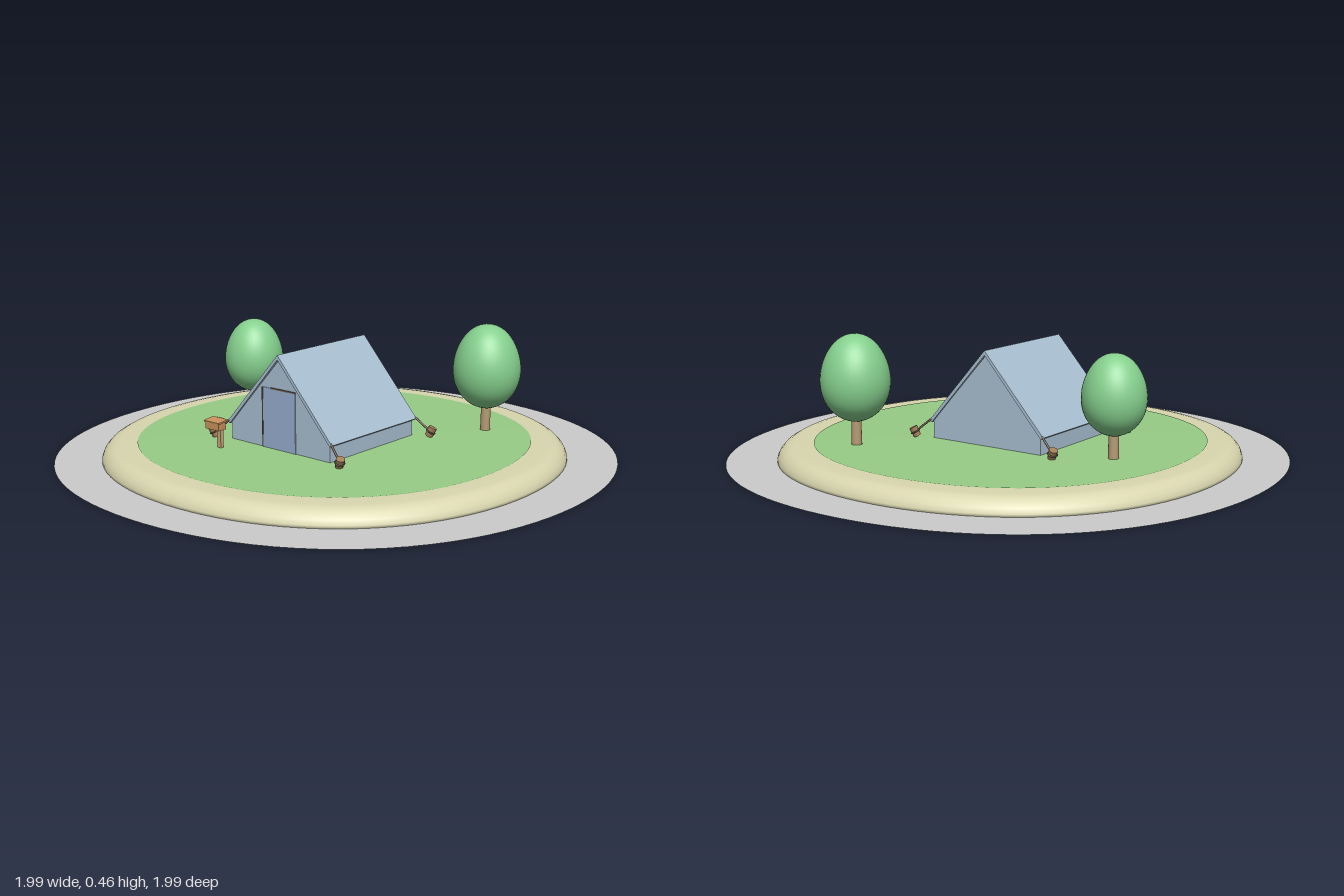
import * as THREE from 'three';

const mat = (color, side = THREE.FrontSide) => new THREE.MeshStandardMaterial({ color, side });
const GROUND = 0.06;

function add(parent, name, geometry, material, x = 0, y = 0, z = 0) {
  const mesh = new THREE.Mesh(geometry, material);
  mesh.name = name;
  mesh.position.set(x, y, z);
  parent.add(mesh);
  return mesh;
}

// Lathe bulged slightly along the diagonals, giving a soft rounded-square plan
function softLathe(points) {
  const geo = new THREE.LatheGeometry(points.map(p => new THREE.Vector2(...p)), 96);
  const pos = geo.attributes.position;
  for (let i = 0; i < pos.count; i++) {
    const x = pos.getX(i), z = pos.getZ(i);
    const s = 1 + 0.025 * Math.sin(2 * Math.atan2(z, x)) ** 2;
    pos.setXYZ(i, x * s, pos.getY(i), z * s);
  }
  geo.computeVertexNormals();
  return geo;
}

// Extrudes a front-facing outline from z0 to z1
function prism(points, z0, z1) {
  const shape = new THREE.Shape(points.map(p => new THREE.Vector2(...p)));
  const geo = new THREE.ExtrudeGeometry(shape, { depth: z1 - z0, bevelEnabled: false });
  return geo.translate(0, 0, z0);
}

// Straight rod between two points
function rod(a, b, radius, sides = 8) {
  const line = new THREE.LineCurve3(new THREE.Vector3(...a), new THREE.Vector3(...b));
  return new THREE.TubeGeometry(line, 1, radius, sides);
}

function makeTree(name, x, z, radius, bottom, top, bark, leaves) {
  const tree = new THREE.Group();
  tree.name = name;
  tree.position.set(x, 0, z);
  const trunkTop = bottom + 0.04;
  add(tree, 'trunk', new THREE.CylinderGeometry(0.017, 0.019, trunkTop - GROUND, 16), bark,
    0, (trunkTop + GROUND) / 2, 0);
  // Egg-shaped crown, fuller below the middle
  const profile = [];
  for (let i = 0; i <= 24; i++) {
    const t = Math.PI * i / 24;
    const r = Math.sin(t) * radius * (1 + 0.04 * Math.sin(2 * t));
    profile.push(new THREE.Vector2(Math.max(r, 0), (bottom + top) / 2 - Math.cos(t) * (top - bottom) / 2));
  }
  add(tree, 'crown', new THREE.LatheGeometry(profile, 40), leaves);
  return tree;
}

function makeTent() {
  const tent = new THREE.Group();
  tent.name = 'tent';
  tent.position.x = -0.025;
  const canvas = mat(0xa9c0d2), door = mat(0x98aed0), wood = mat(0xa07e58), rope = mat(0x6b5a48);

  // Body with low side walls and gabled ends
  add(tent, 'body', prism([[-0.235, GROUND], [0.235, GROUND], [0.235, 0.125], [0, 0.385], [-0.235, 0.125]],
    -0.18, 0.28), canvas);
  // Thin folded roof with a small overhang
  add(tent, 'roof', prism([[-0.25, 0.125], [-0.24, 0.118], [0, 0.388], [0.24, 0.118], [0.25, 0.125], [0, 0.405]],
    -0.187, 0.288), canvas);
  // Door flap and its seams
  add(tent, 'doorFlap', new THREE.BoxGeometry(0.155, 0.22, 0.004), door, 0, 0.17, 0.281);
  add(tent, 'doorSideSeam', new THREE.BoxGeometry(0.005, 0.22, 0.006), rope, -0.078, 0.17, 0.281);
  add(tent, 'doorTopSeam', new THREE.BoxGeometry(0.115, 0.005, 0.006), rope, 0.02, 0.28, 0.281);

  // Guy ropes tied to leaning pegs at the four corners
  for (const sx of [-1, 1]) for (const front of [true, false]) {
    const sz = front ? 1 : -1;
    const z = front ? 0.285 : -0.185;
    const px = sx * 0.295, pz = z + sz * 0.018;
    add(tent, 'peg', new THREE.CylinderGeometry(0.016, 0.014, 0.036, 12), wood, px + sx * 0.006, 0.08, pz + sz * 0.003)
      .rotation.set(sz * 0.25, 0, -sx * 0.4);
    add(tent, 'pegRopeLoop', new THREE.TorusGeometry(0.016, 0.003, 6, 16).rotateX(Math.PI / 2), rope,
      px + sx * 0.006, 0.08, pz + sz * 0.003).rotation.set(sz * 0.25, 0, -sx * 0.4);
    add(tent, 'guyRope', rod([sx * 0.243, 0.13, z], [px, 0.085, pz], 0.004), rope);
  }
  return tent;
}

function makeSign() {
  const sign = new THREE.Group();
  sign.name = 'postBox';
  sign.position.set(-0.21, 0, 0.39);
  const wood = mat(0xcaa578), orange = mat(0xc9925c);
  add(sign, 'post', new THREE.BoxGeometry(0.018, 0.105, 0.014), wood, 0, 0.1125, 0);
  add(sign, 'box', new THREE.BoxGeometry(0.066, 0.026, 0.036), orange, 0, 0.147, 0.022);
  // Lid sloping down to the front
  add(sign, 'lid', new THREE.BoxGeometry(0.074, 0.006, 0.046), orange, 0, 0.163, 0.02).rotation.x = 0.12;
  add(sign, 'hinge', rod([-0.02, 0.166, -0.004], [0.02, 0.166, -0.004], 0.004), wood);
  return sign;
}

export function createModel() {
  const model = new THREE.Group();
  model.name = 'campIsland';

  // Flat surround and island
  add(model, 'surround', softLathe([[0.0001, 0], [0.996, 0]]), mat(0xcccccc, THREE.DoubleSide), 0, 0.003, 0);
  add(model, 'sandShore', softLathe([[0.808, 0.003], [0.81, 0], [0.826, 0], [0.825, 0.012], [0.818, 0.028],
    [0.804, 0.044], [0.785, 0.055], [0.762, 0.0595], [0.69, 0.0595]]),
    mat(0xd9d6af, THREE.DoubleSide), -0.004, 0, 0.004);
  add(model, 'grass', softLathe([[0.7, 0.055], [0.7, GROUND], [0.0001, GROUND]]),
    mat(0x98cc86, THREE.DoubleSide), -0.006, 0.001, 0.004);

  model.add(makeTent(), makeSign());

  const bark = mat(0xb59a74), leaves = mat(0x86d08e);
  model.add(makeTree('leftTree', 0.37, -0.42, 0.125, 0.145, 0.46, bark, leaves));
  model.add(makeTree('rightTree', -0.485, -0.07, 0.113, 0.14, 0.425, bark, leaves));
  return model;
}
